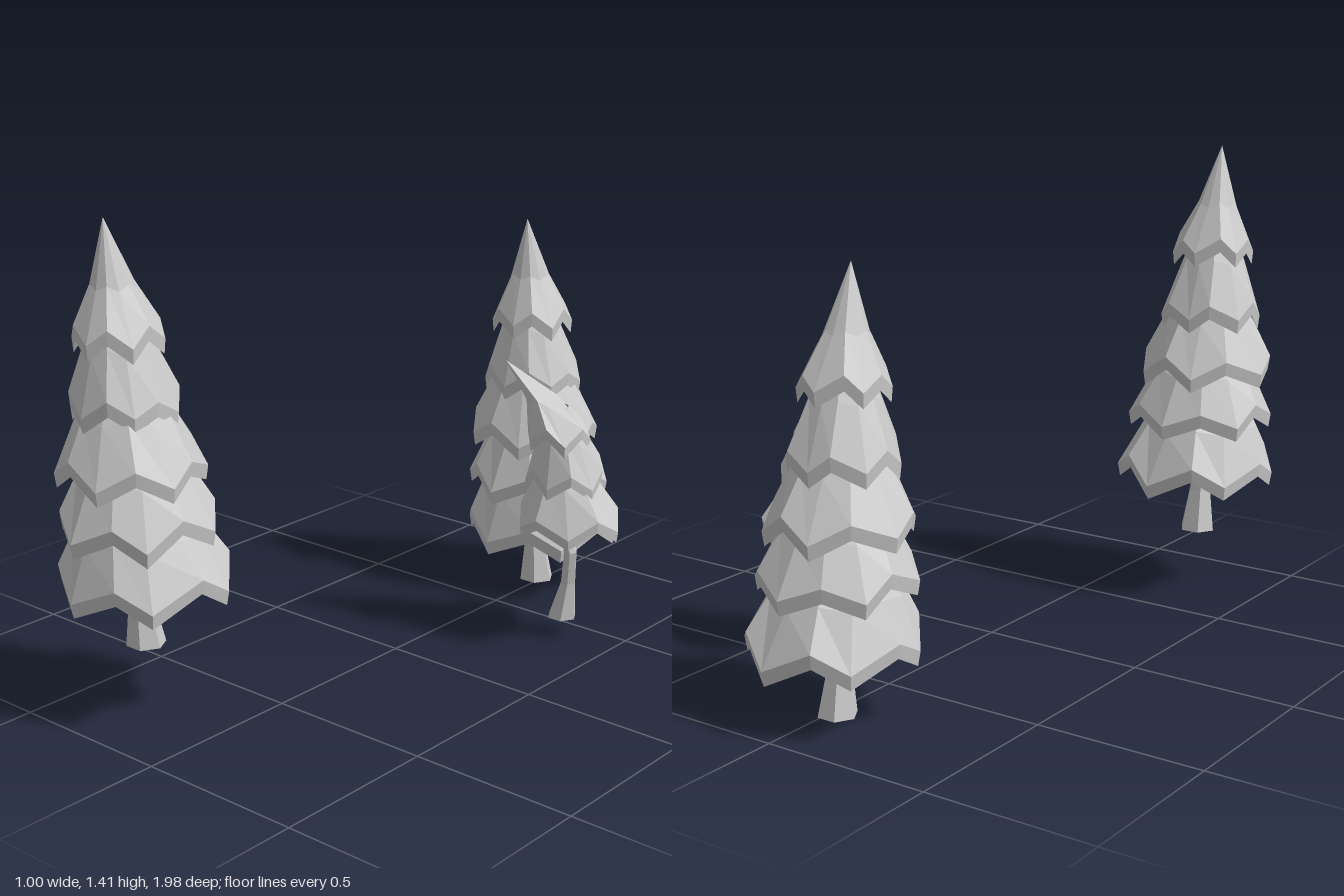
import * as THREE from 'three';

const material = new THREE.MeshStandardMaterial({ color: 0xcccccc, flatShading: true, side: THREE.DoubleSide });

function seeded(seed) {
  return () => {
    seed = (seed * 16807) % 2147483647;
    return seed / 2147483647 - 0.5;
  };
}

// Skins a list of rings (each an array of Vector3, top to bottom) with faces.
function loft(rings, name) {
  const n = rings[0].length;
  const positions = rings.flat().flatMap((p) => p.toArray());
  const index = [];
  for (let i = 0; i < rings.length - 1; i++) {
    for (let j = 0; j < n; j++) {
      const a = i * n + j, b = i * n + ((j + 1) % n);
      index.push(a, a + n, b + n, a, b + n, b);
    }
  }
  const geometry = new THREE.BufferGeometry();
  geometry.setAttribute('position', new THREE.Float32BufferAttribute(positions, 3));
  geometry.setIndex(index);
  const flat = geometry.toNonIndexed();
  flat.computeVertexNormals();
  const mesh = new THREE.Mesh(flat, material);
  mesh.name = name;
  return mesh;
}

// A ring of n points; shape(j) may return [radius factor, height offset, angle offset].
function ring(n, [x, y, z], radius, turn, shape = () => [1, 0, 0]) {
  return Array.from({ length: n }, (_, j) => {
    const [f, dy, da] = shape(j);
    const a = turn + (j / n) * Math.PI * 2 + da;
    return new THREE.Vector3(x + Math.sin(a) * radius * f, y + dy, z + Math.cos(a) * radius * f);
  });
}

// One hollow skirt of foliage: drooping tips alternate with raised notches.
function makeTier({ lobes, top, topR, mid, midR, rim, r, turn, drop, edge }, random, name) {
  const n = lobes * 2;
  const a = THREE.MathUtils.degToRad(turn);
  const jitter = Array.from({ length: n }, () => [random(), random(), random()]);
  const ragged = (amount) => (j) => {
    const [p, q, s] = jitter[j];
    const tip = j % 2 === 0;
    return [
      (tip ? 1 : 1 - 0.06 * amount) + p * 0.07 * amount,
      ((tip ? -drop : drop) + q * drop * 0.7) * amount,
      s * 0.16 * amount,
    ];
  };
  const [x, y, z] = rim;
  return loft([
    ring(n, top, topR, a),
    ring(n, mid, midR, a, ragged(0.3)),
    ring(n, rim, r, a, ragged(1)),
    ring(n, [x, y - edge, z], r * 0.97, a, ragged(1)),
    ring(n, [x, y - edge * 0.2, z], r * 0.8, a, ragged(0.8)),
    ring(n, [mid[0], mid[1], mid[2]], midR * 0.55, a),
  ], name);
}

// Six-sided bent trunk; stations run from the top down as [x, y, z, radius].
function makeTrunk(stations) {
  const rings = stations.map(([x, y, z, r]) => ring(6, [x, y, z], r, Math.PI / 6));
  const [x, y, z] = stations[stations.length - 1];
  rings.push(ring(6, [x, y, z], 0, 0));
  return loft(rings, 'trunk');
}

function makeTree(name, trunk, tiers, lobes, drop, edge, seed) {
  const group = new THREE.Group();
  group.name = name;
  const random = seeded(seed);
  group.add(makeTrunk(trunk));
  tiers.forEach(([top, topR, mid, midR, rim, r, turn], i) => {
    const tier = { lobes, top, topR, mid, midR, rim, r, turn, drop: drop * (1 - i * 0.08), edge };
    group.add(makeTier(tier, random, `foliageTier${i + 1}`));
  });
  return group;
}

// Per tier: top centre, top radius, middle centre, middle radius, rim centre, rim radius, turn.
const tallTiers = [
  [[-0.02, 0.46, -0.73], 0.1, [-0.015, 0.35, -0.735], 0.18, [-0.01, 0.225, -0.745], 0.247, -6],
  [[-0.02, 0.62, -0.715], 0.09, [-0.015, 0.52, -0.725], 0.155, [-0.012, 0.395, -0.73], 0.222, -3],
  [[-0.025, 0.81, -0.705], 0.07, [-0.02, 0.69, -0.71], 0.135, [-0.02, 0.55, -0.715], 0.208, 20],
  [[-0.03, 0.98, -0.7], 0.05, [-0.03, 0.87, -0.705], 0.098, [-0.028, 0.725, -0.715], 0.158, 0],
  [[-0.03, 1.22, -0.67], 0, [-0.028, 1.04, -0.69], 0.062, [-0.024, 0.92, -0.697], 0.125, 5],
];
const tallTrunk = [
  [-0.02, 0.42, -0.725, 0.028],
  [-0.02, 0.26, -0.72, 0.03],
  [-0.022, 0.13, -0.738, 0.036],
  [-0.022, 0, -0.75, 0.057],
];

const smallTiers = [
  [[0.33, 0.62, -0.38], 0.04, [0.335, 0.52, -0.39], 0.09, [0.345, 0.395, -0.402], 0.162, -38],
  [[0.325, 0.75, -0.36], 0.03, [0.33, 0.65, -0.375], 0.075, [0.337, 0.535, -0.388], 0.118, 10],
  [[0.185, 0.88, -0.285], 0, [0.285, 0.765, -0.34], 0.052, [0.325, 0.675, -0.36], 0.095, -20],
];
const smallTrunk = [
  [0.325, 0.5, -0.385, 0.018],
  [0.33, 0.39, -0.387, 0.018],
  [0.36, 0.29, -0.392, 0.021],
  [0.342, 0.18, -0.41, 0.024],
  [0.317, 0.06, -0.417, 0.046],
];

export function createModel() {
  const model = new THREE.Group();
  model.name = 'pineTrees';

  // Two matching tall trees, the front one on higher ground
  const backTree = makeTree('backTree', tallTrunk, tallTiers, 6, 0.032, 0.042, 77);
  const frontTree = backTree.clone();
  frontTree.name = 'frontTree';
  frontTree.position.set(-0.26, 0.19, 1.5);

  // Small tree with a crooked trunk and leaning tip
  const smallTree = makeTree('smallTree', smallTrunk, smallTiers, 5, 0.024, 0.032, 4211);

  model.add(backTree, frontTree, smallTree);
  return model;
}
